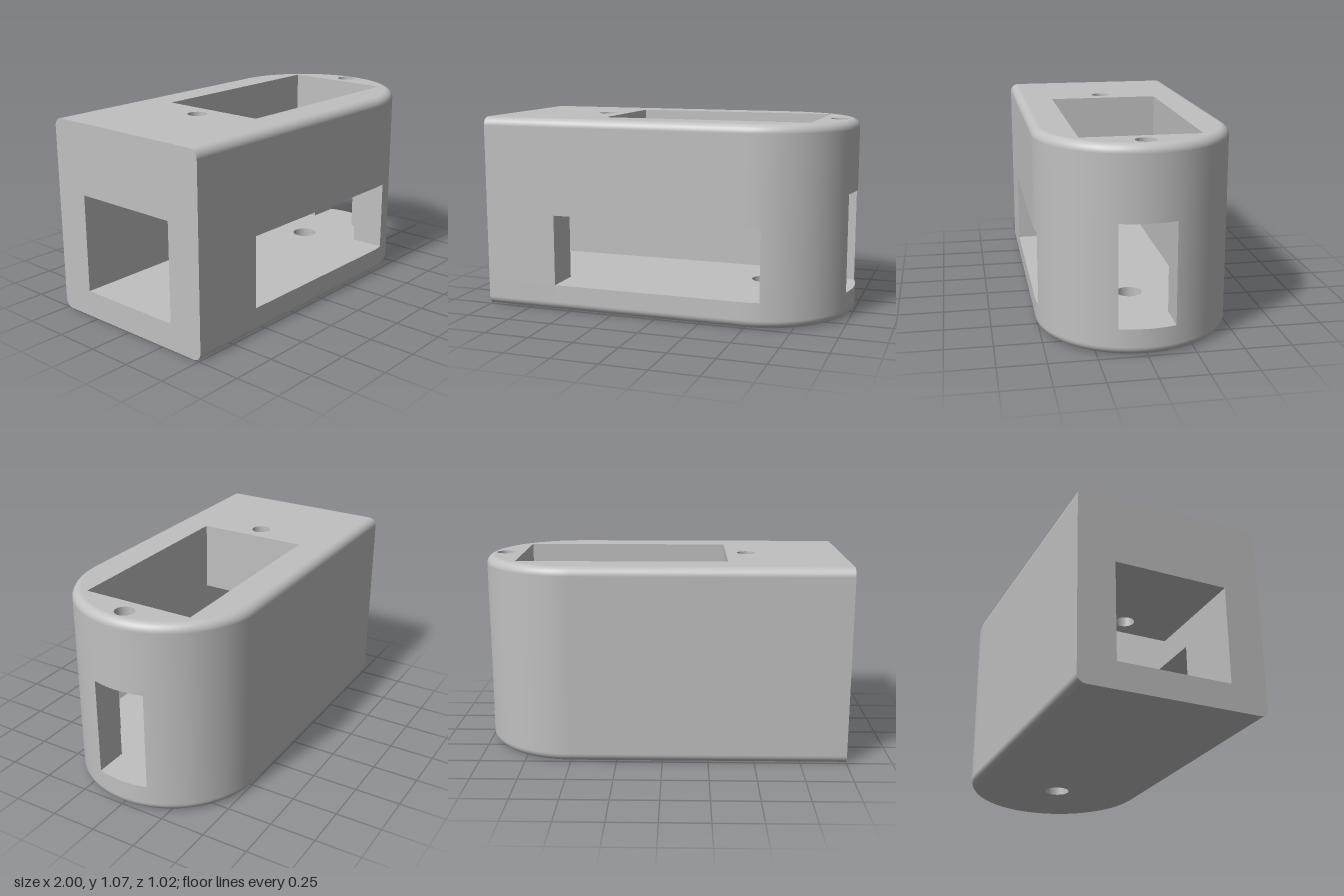
import * as THREE from 'three';

// Main dimensions
const H = 1.073, R = 0.512, CX = 0.488, FILLET = 0.047;
const FLOOR = 0.145, CEIL = 0.685, HEAD = 0.54;      // cavity floor, cavity ceiling, side window top
const CAV = 0.31, CAV_END = 0.795, POCKET = -0.35;   // cavity half width, its end, start of the open top
const WIN = 0.585, SLOT = 0.147;                     // half widths of side window and end slot
const SCREWS = [-0.465, 0.898], SCREW_R = 0.052, DRAIN_R = 0.07;

const rect = (x0, x1, y0, y1) => [[x0, y0], [x1, y0], [x1, y1], [x0, y1]];
const circle = (x, r) => Array.from({ length: 40 }, (_, i) => {
  const a = i / 40 * Math.PI * 2;
  return [x + r * Math.cos(a), r * Math.sin(a)];
});

// Outline points are [x, z, normalX, normalZ]
const line = (x0, x1, s) => [[x0, s * R, 0, s], [x1, s * R, 0, s]];
function arc(a0, a1) {
  const n = Math.max(4, Math.ceil((a1 - a0) * 22));
  return Array.from({ length: n + 1 }, (_, i) => {
    const a = a0 + (a1 - a0) * i / n, s = Math.sin(a), c = Math.cos(a);
    return [CX + R * s, R * c, s, c];
  });
}

// Skin swept along an outline; each row is [inset, y, outward normal, upward normal]
function skin(path, rows) {
  const pos = [], nor = [], idx = [], n = path.length;
  for (const [inset, y, out, up] of rows)
    for (const [x, z, nx, nz] of path) {
      pos.push(x - nx * inset, y, z - nz * inset);
      nor.push(nx * out, up, nz * out);
    }
  for (let j = 0; j < rows.length - 1; j++)
    for (let i = 0; i < n - 1; i++) {
      const a = j * n + i, b = a + 1, c = b + n, d = a + n;
      idx.push(a, b, c, a, c, d);
    }
  const g = new THREE.BufferGeometry();
  g.setAttribute('position', new THREE.Float32BufferAttribute(pos, 3));
  g.setAttribute('normal', new THREE.Float32BufferAttribute(nor, 3));
  g.setIndex(idx);
  return g;
}

// Flat face with holes, drawn facing +z
function face(points, holes = [], flip = false) {
  const v = p => p.map(([x, y]) => new THREE.Vector2(x, y));
  const shape = new THREE.Shape(v(points));
  holes.forEach(h => shape.holes.push(new THREE.Path(v(h))));
  const g = new THREE.ShapeGeometry(shape);
  if (flip) {
    g.setIndex(Array.from(g.index.array).reverse());
    const n = g.attributes.normal;
    for (let i = 0; i < n.count; i++) n.setZ(i, -n.getZ(i));
  }
  return g;
}
const level = (y, up, pts, holes) => face(pts, holes, up).rotateX(Math.PI / 2).translate(0, y, 0);       // (x, z)
const across = (x, plus, pts, holes) => face(pts, holes, plus).rotateY(-Math.PI / 2).translate(x, 0, 0); // (z, y)
const along = (z, plus, pts, holes) => face(pts, holes, !plus).translate(0, 0, z);                       // (x, y)

export function createModel() {
  const group = new THREE.Group();
  const grey = new THREE.MeshStandardMaterial({ color: 0xc0c0c0, side: THREE.DoubleSide });
  grey.name = 'grey';
  const add = (name, ...geometries) => {
    const part = new THREE.Group();
    part.name = name;
    geometries.forEach(g => {
      const m = new THREE.Mesh(g, grey);
      m.name = name;
      part.add(m);
    });
    group.add(part);
  };

  // Outline sections: window and slot sections can be left open
  const a1 = Math.asin((WIN - CX) / R), w = Math.asin(SLOT / R), q = Math.PI / 2;
  const A = line(-1, -WIN, 1);
  const B = [...line(-WIN, CX, 1), ...arc(0, a1).slice(1)];
  const C = arc(a1, q - w);
  const D = arc(q - w, q + w);
  const E = [...arc(q + w, Math.PI), ...line(CX, -1, -1).slice(1)];
  const all = [...A, ...B.slice(1), ...C.slice(1), ...D.slice(1), ...E.slice(1)];

  // Rounded edge profiles and plain bands
  const low = [], high = [];
  for (let i = 0; i <= 8; i++) {
    const a = i / 8 * q, s = Math.sin(a), c = Math.cos(a);
    low.push([FILLET * (1 - s), FILLET * (1 - c), s, -c]);
    high.push([FILLET * (1 - c), H - FILLET * (1 - s), c, s]);
  }
  const band = (y0, y1) => [[0, y0, 1, 0], [0, y1, 1, 0]];
  add('outerWall',
    skin(all, [...low, [0, FLOOR, 1, 0]]),
    ...[A, C, E].map(p => skin(p, band(FLOOR, CEIL))),
    skin(B, band(HEAD, CEIL)),
    skin(all, [[0, CEIL, 1, 0], ...high]));

  // Top, bottom and flat end
  const lid = all.map(([x, z, nx, nz]) => [x - nx * FILLET, z - nz * FILLET]);
  add('topFace', level(H, true, lid,
    [rect(POCKET, CAV_END, -CAV, CAV), ...SCREWS.map(x => circle(x, SCREW_R))]));
  add('bottomFace', level(0, false, lid, [circle(CX, DRAIN_R)]));
  const side = [...low, ...high].map(([inset, y]) => [R - inset, y]);
  const endOutline = [...side, ...side.map(([z, y]) => [-z, y]).reverse()];
  add('flatEnd', across(-1, false, endOutline, [rect(-CAV, CAV, FLOOR, CEIL)]));

  // Cavity floor, running out through the window and the slot
  const flat = p => p.map(([x, z]) => [x, z]);
  add('cavityFloor', level(FLOOR, true, [
    [-1, -CAV], [-1, CAV], [-WIN, CAV], ...flat(B), [WIN, CAV], [CAV_END, CAV],
    [CAV_END, SLOT], ...flat(D), [CAV_END, -SLOT], [CAV_END, -CAV],
  ], [circle(CX, DRAIN_R)]));

  // Ceilings of cavity, slot and window
  add('cavityCeiling',
    level(CEIL, false, rect(-1, POCKET, -CAV, CAV), [circle(SCREWS[0], SCREW_R)]),
    level(CEIL, false, [[CAV_END, SLOT], ...flat(D), [CAV_END, -SLOT]], [circle(SCREWS[1], SCREW_R)]),
    level(HEAD, false, [[-WIN, CAV], ...flat(B), [WIN, CAV]]));

  // Cavity walls, with the pocket open to the top
  const wall = [[-1, FLOOR], [CAV_END, FLOOR], [CAV_END, H], [POCKET, H], [POCKET, CEIL], [-1, CEIL]];
  const windowWall = [[-1, FLOOR], [-WIN, FLOOR], [-WIN, HEAD], [WIN, HEAD], [WIN, FLOOR], ...wall.slice(1)];
  add('cavityWalls',
    along(-CAV, true, wall),
    along(CAV, false, windowWall),
    across(POCKET, true, rect(-CAV, CAV, CEIL, H)),
    across(CAV_END, false, [
      [-CAV, FLOOR], [-SLOT, FLOOR], [-SLOT, CEIL], [SLOT, CEIL],
      [SLOT, FLOOR], [CAV, FLOOR], [CAV, H], [-CAV, H]]));

  // Sides of the window and the end slot
  add('windowSides',
    across(-WIN, true, rect(CAV, R, FLOOR, HEAD)),
    across(WIN, false, rect(CAV, R * Math.cos(a1), FLOOR, HEAD)));
  const slotX = CX + R * Math.cos(w);
  add('slotSides', ...[-1, 1].map(s =>
    along(s * SLOT, s < 0, rect(CAV_END, slotX, FLOOR, CEIL))));

  // Round bores
  const bore = (x, r, y0, y1) =>
    new THREE.CylinderGeometry(r, r, y1 - y0, 40, 1, true).translate(x, (y0 + y1) / 2, 0);
  add('screwHoles', ...SCREWS.map(x => bore(x, SCREW_R, CEIL, H)));
  add('floorHole', bore(CX, DRAIN_R, 0, FLOOR));
  return group;
}
